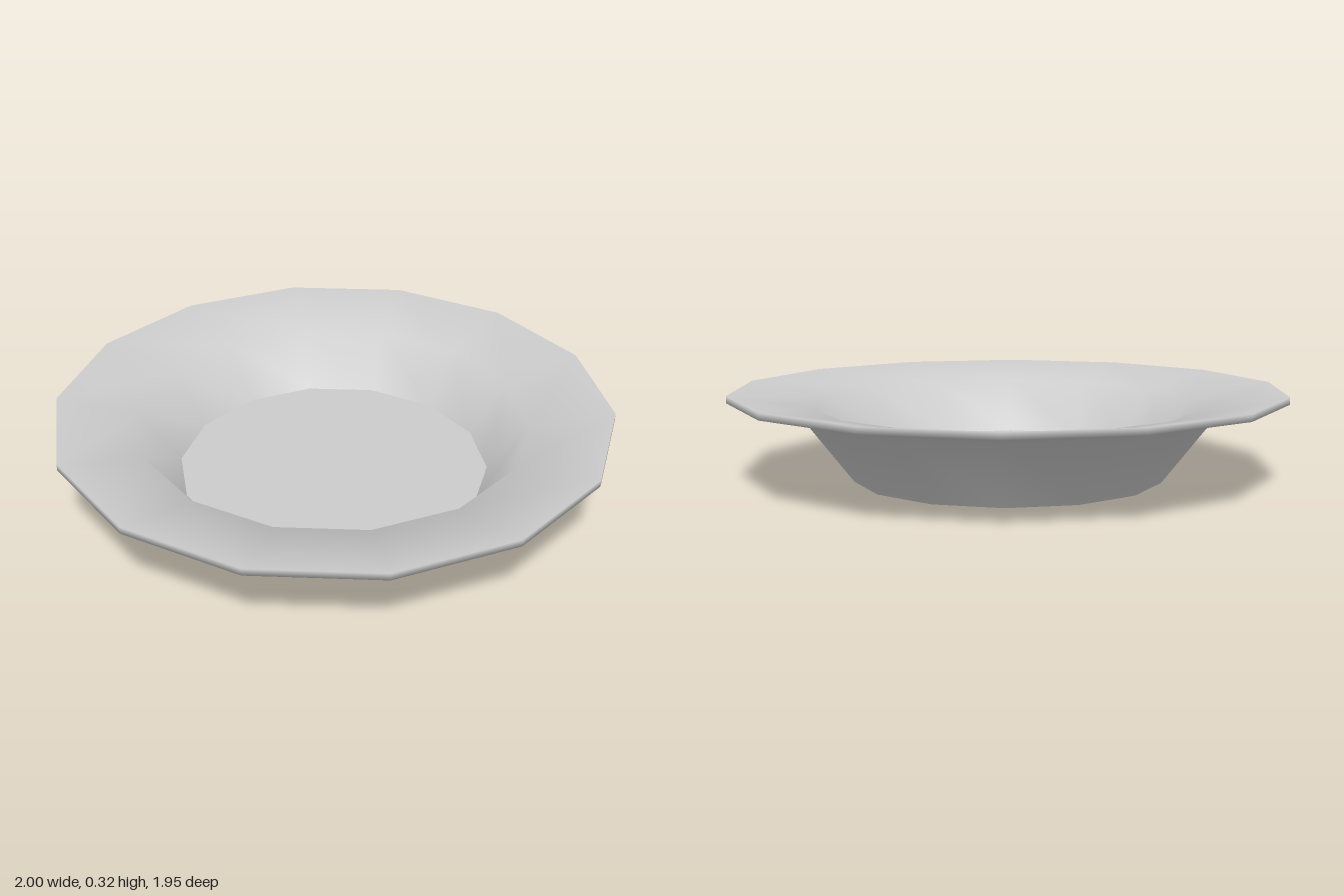
import * as THREE from 'three';

const SIDES = 14;
const BASE_RADIUS = 0.56;
const FLOOR_HEIGHT = 0.08;

export function createModel() {
  const group = new THREE.Group();
  group.name = 'plate';
  const material = new THREE.MeshStandardMaterial({ color: 0xcccccc });

  function add(name, geometry, y = 0) {
    const mesh = new THREE.Mesh(geometry, material);
    mesh.name = name;
    mesh.position.y = y;
    group.add(mesh);
  }

  // Wall and rim: up the outside, over the lip, down the inside
  const profile = [
    [BASE_RADIUS, 0], [0.75, 0.245], [1, 0.295],
    [1, 0.32], [0.7, 0.268], [BASE_RADIUS, FLOOR_HEIGHT],
  ].map(([r, y]) => new THREE.Vector2(r, y));
  add('wallAndRim', new THREE.LatheGeometry(profile, SIDES, Math.PI / 2));

  // Flat discs closing the inside and the underside
  add('floor', new THREE.CircleGeometry(BASE_RADIUS, SIDES).rotateX(-Math.PI / 2), FLOOR_HEIGHT);
  add('base', new THREE.CircleGeometry(BASE_RADIUS, SIDES).rotateX(Math.PI / 2));

  return group;
}
